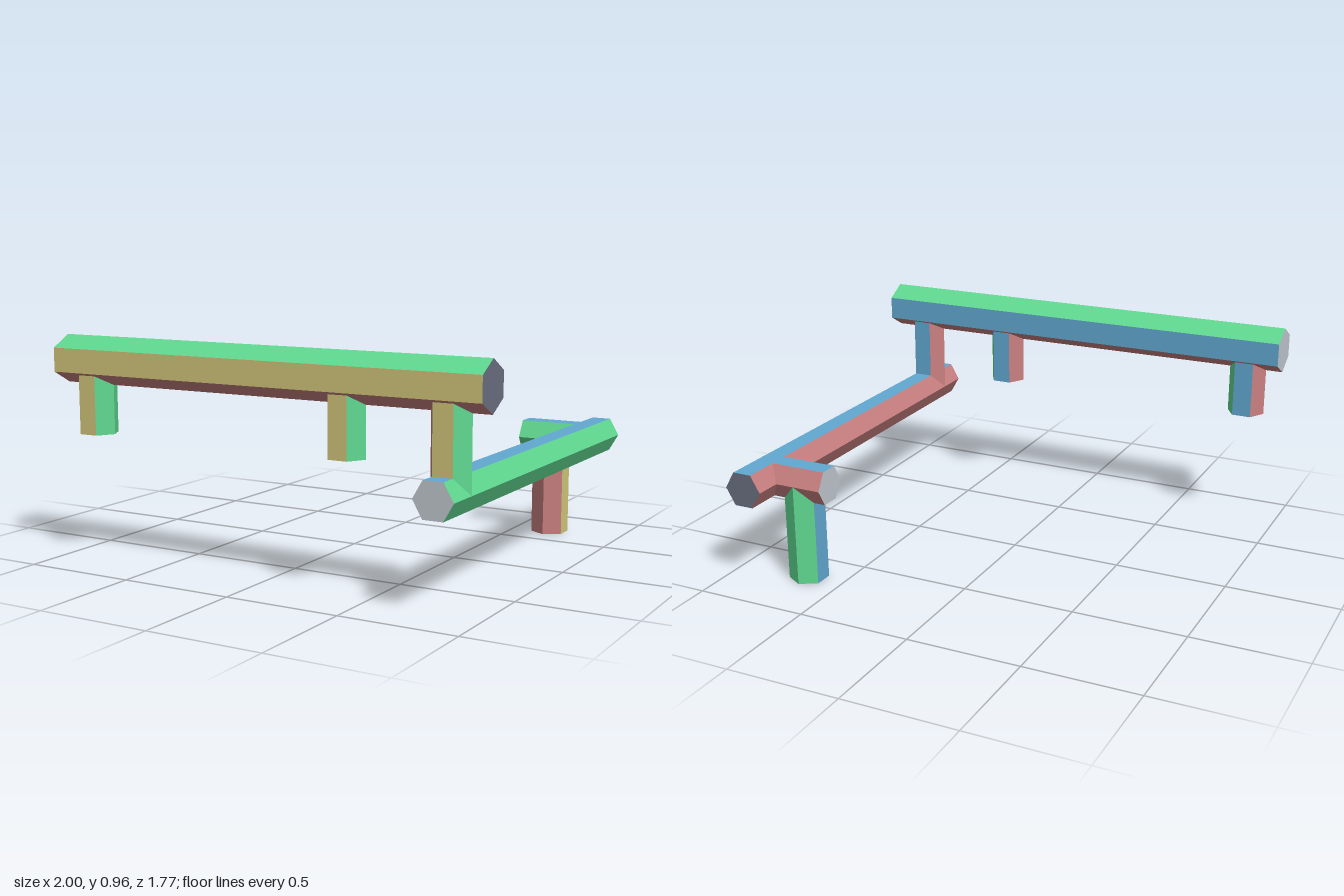
import * as THREE from 'three';

const mat = (name, color) => {
  const m = new THREE.MeshStandardMaterial({ color });
  m.name = name;
  return m;
};

export function createModel() {
  const group = new THREE.Group();
  const materials = [
    mat('green', 0x60d890), mat('yellow', 0xd0c678), mat('red', 0xc98080),
    mat('blue', 0x62a8d2), mat('slate', 0x6a6f80), mat('paleGrey', 0xc0c8ce),
  ];
  // material of each of the six sides, going round from the green edge
  const sides = [0, 1, 2, 2, 3, 0];

  // Hexagonal bar from start to end; greenDir points at the edge between the green sides
  function bar(name, start, end, greenDir, radius, squash = 1) {
    const a = new THREE.Vector3(...start), b = new THREE.Vector3(...end);
    const geo = new THREE.CylinderGeometry(radius, radius, a.distanceTo(b), 6).toNonIndexed();
    geo.scale(1, 1, squash);
    geo.computeVertexNormals();
    geo.clearGroups();
    sides.forEach((m, i) => geo.addGroup(i * 6, 6, m));
    geo.addGroup(36, 18, 4); // end cap
    geo.addGroup(54, 18, 5); // start cap

    const axis = b.clone().sub(a).normalize();
    const green = new THREE.Vector3(...greenDir);
    const across = axis.clone().cross(green);
    const mesh = new THREE.Mesh(geo, materials);
    mesh.name = name;
    mesh.quaternion.setFromRotationMatrix(new THREE.Matrix4().makeBasis(across, axis, green));
    mesh.position.copy(a).add(b).multiplyScalar(0.5);
    group.add(mesh);
  }

  const r = 0.085, beamY = 0.86, beamZ = 0.737, lowY = 0.449, lowX = 0.836;

  // Upper beam and the posts hanging from it
  bar('upperBeam', [-1, beamY, beamZ], [1, beamY, beamZ], [0, 1, 0], 0.1065, 0.968);
  bar('rightPost', [-0.84, beamY, beamZ], [-0.84, 0.545, beamZ], [1, 0, 0], r);
  bar('middlePost', [0.39, beamY, beamZ], [0.39, 0.545, beamZ], [1, 0, 0], r);
  bar('linkPost', [lowX, beamY, beamZ], [lowX, lowY, beamZ], [1, 0, 0], r);

  // Lower beam running back, with a side stub and its leg
  bar('lowerBeam', [lowX, lowY, 0.886], [lowX, lowY, -0.886], [1, 0, 0], r);
  bar('sideStub', [0.54, lowY, -0.683], [lowX, lowY, -0.683], [0, 0, 1], r);
  // the leg's green edge faces the back
  bar('stubLeg', [0.668, lowY, -0.683], [0.668, 0, -0.683], [0, 0, -1], r);

  return group;
}
